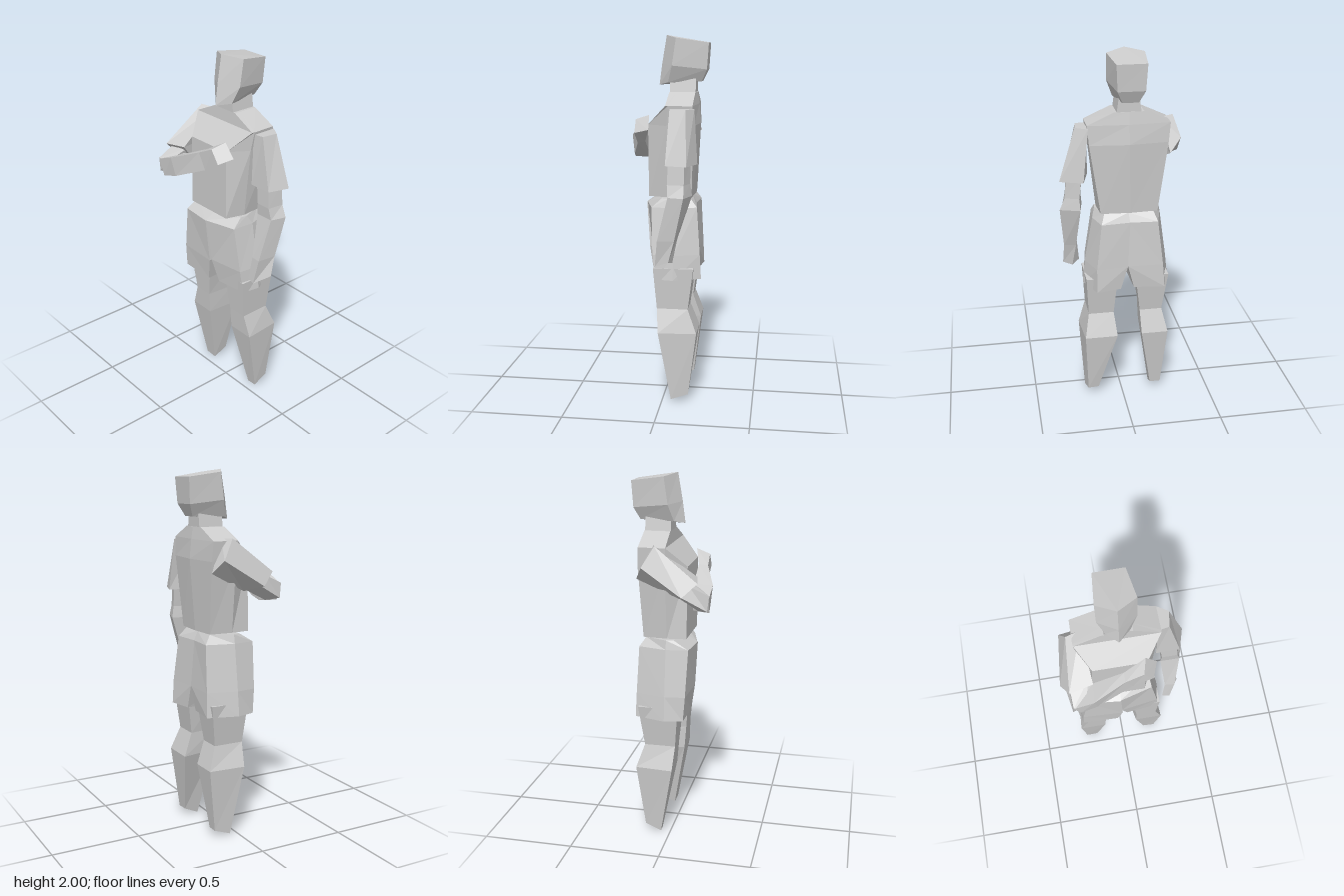
import * as THREE from 'three';

const grey = new THREE.MeshStandardMaterial({ color: 0xcccccc, flatShading: true });
grey.name = 'clay grey';

// Closed faceted solid through cross-sections that share a point count.
function loft(name, rings) {
  const n = rings[0].length, tris = [];
  for (let r = 0; r < rings.length - 1; r++) {
    const a = rings[r], b = rings[r + 1];
    for (let i = 0; i < n; i++) {
      const j = (i + 1) % n;
      tris.push([a[i], a[j], b[j]], [a[i], b[j], b[i]]);
    }
  }
  const first = rings[0], last = rings[rings.length - 1];
  for (let i = 1; i < n - 1; i++) {
    tris.push([first[0], first[i + 1], first[i]], [last[0], last[i], last[i + 1]]);
  }
  // Signed volume decides which way the faces must wind
  const v = (p) => new THREE.Vector3(...p);
  const volume = tris.reduce((s, [a, b, c]) => s + v(a).dot(v(b).cross(v(c))), 0);
  if (volume < 0) tris.forEach((t) => t.reverse());
  const geo = new THREE.BufferGeometry();
  geo.setAttribute('position', new THREE.Float32BufferAttribute(tris.flat(2), 3));
  geo.computeVertexNormals();
  const mesh = new THREE.Mesh(geo, grey);
  mesh.name = name;
  return mesh;
}

// Level cross-section at height y from [x, z] pairs
const level = (y, pts) => pts.map(([x, z]) => [x, y, z]);

// Tapered quad section: front edge and back edge
const quad = (y, x0, x1, zf, zb, in0 = 0, in1 = 0) =>
  level(y, [[x0, zf], [x1, zf], [x1 + in1, zb], [x0 + in0, zb]]);

export function createModel() {
  const g = new THREE.Group();
  g.name = 'figure';

  // Head: five-sided with a ridge down the face
  g.add(loft('head', [
    [[-0.03, 1.735, 0.045], [0.035, 1.75, -0.01], [0.01, 1.755, -0.19], [-0.075, 1.755, -0.19], [-0.09, 1.75, -0.005]],
    [[-0.03, 1.85, 0.03], [0.07, 1.84, -0.035], [0.04, 1.82, -0.22], [-0.105, 1.82, -0.22], [-0.127, 1.84, -0.03]],
    [[-0.03, 2.0, 0.005], [0.072, 1.985, -0.057], [0.047, 1.96, -0.23], [-0.113, 1.96, -0.228], [-0.13, 1.985, -0.05]],
  ]));
  g.add(loft('neck', [
    quad(1.66, -0.1, 0.04, -0.02, -0.16),
    quad(1.77, -0.085, 0.025, -0.02, -0.16),
  ]));

  // Torso: front pair, left side, back left, spine, back right, right side
  g.add(loft('torso', [
    level(1.14, [[-0.19, 0.085], [0.1, 0.085], [0.13, -0.02], [0.12, -0.15], [-0.04, -0.16], [-0.19, -0.15], [-0.2, -0.02]]),
    level(1.53, [[-0.175, 0.088], [0.105, 0.088], [0.175, -0.02], [0.18, -0.165], [-0.03, -0.185], [-0.24, -0.165], [-0.24, -0.02]]),
    level(1.635, [[-0.25, -0.015], [0.19, -0.015], [0.192, -0.03], [0.19, -0.16], [-0.03, -0.175], [-0.25, -0.16], [-0.252, -0.03]]),
    level(1.7, [[-0.11, -0.02], [0.05, -0.02], [0.05, -0.06], [0.05, -0.16], [-0.03, -0.165], [-0.11, -0.16], [-0.11, -0.06]]),
  ]));

  // Shorts, one flared tube per leg
  g.add(loft('rightShortsLeg', [
    level(0.695, [[-0.05, 0.085], [-0.255, 0.08], [-0.28, -0.02], [-0.23, -0.19], [-0.06, -0.17]]),
    level(0.83, [[-0.022, 0.1], [-0.25, 0.09], [-0.265, -0.02], [-0.22, -0.185], [-0.025, -0.18]]),
    level(1.085, [[-0.035, 0.117], [-0.215, 0.1], [-0.23, -0.02], [-0.19, -0.175], [-0.035, -0.165]]),
    level(1.135, [[-0.03, 0.03], [-0.21, 0.02], [-0.22, -0.02], [-0.17, -0.14], [-0.03, -0.14]]),
  ]));
  g.add(loft('leftShortsLeg', [
    level(0.695, [[0.01, 0.06], [0.195, 0.04], [0.213, -0.06], [0.15, -0.208], [0.015, -0.18]]),
    level(0.83, [[-0.024, 0.085], [0.185, 0.055], [0.2, -0.06], [0.15, -0.2], [-0.025, -0.18]]),
    level(1.085, [[-0.04, 0.115], [0.145, 0.065], [0.155, -0.06], [0.12, -0.18], [-0.04, -0.165]]),
    level(1.135, [[-0.035, 0.03], [0.135, 0.01], [0.14, -0.03], [0.1, -0.14], [-0.035, -0.14]]),
  ]));

  // Bare legs: thigh, knee, calf, pointed ankle
  g.add(loft('rightLeg', [
    [[-0.235, 0.01, -0.05], [-0.17, 0.0, -0.055], [-0.165, 0.04, -0.14], [-0.225, 0.04, -0.14]],
    quad(0.4, -0.27, -0.12, 0.02, -0.185, 0.015, 0.015),
    quad(0.53, -0.225, -0.115, 0.03, -0.14, 0, 0.015),
    quad(0.76, -0.255, -0.08, 0.05, -0.17, 0, 0.01),
  ]));
  g.add(loft('leftLeg', [
    [[0.145, 0.0, -0.055], [0.21, 0.01, -0.05], [0.2, 0.04, -0.145], [0.14, 0.04, -0.14]],
    quad(0.4, 0.075, 0.232, 0.02, -0.19, -0.04, -0.015),
    quad(0.53, 0.075, 0.192, 0.03, -0.14, -0.025, 0),
    quad(0.76, 0.05, 0.205, 0.05, -0.17, -0.02, 0),
  ]));

  // Hanging left arm
  g.add(loft('leftSleeve', [
    level(1.335, [[0.175, -0.03], [0.305, -0.03], [0.338, -0.145], [0.215, -0.19]]),
    level(1.62, [[0.18, -0.035], [0.238, -0.045], [0.25, -0.13], [0.185, -0.17]]),
  ]));
  g.add(loft('leftForearm', [
    [[0.222, 0.8, 0.025], [0.265, 0.785, 0.03], [0.32, 0.825, -0.05], [0.27, 0.81, -0.065]],
    [[0.235, 0.93, 0.01], [0.29, 0.93, 0.015], [0.315, 0.94, -0.08], [0.25, 0.94, -0.09]],
    level(1.17, [[0.21, -0.045], [0.315, -0.045], [0.338, -0.13], [0.23, -0.165]]),
    level(1.235, [[0.215, -0.04], [0.3, -0.04], [0.31, -0.13], [0.235, -0.155]]),
    level(1.36, [[0.2, -0.045], [0.29, -0.045], [0.3, -0.13], [0.22, -0.155]]),
  ]));

  // Right arm folded across the chest
  g.add(loft('rightSleeve', [
    [[-0.205, 1.645, -0.09], [-0.28, 1.65, -0.065], [-0.313, 1.54, -0.13], [-0.25, 1.47, -0.17]],
    [[-0.18, 1.48, 0.14], [-0.305, 1.47, 0.165], [-0.346, 1.4, 0.09], [-0.2, 1.36, 0.05]],
  ]));
  g.add(loft('rightElbow', [
    [[-0.2, 1.46, 0.1], [-0.3, 1.455, 0.12], [-0.325, 1.4, 0.08], [-0.22, 1.37, 0.05]],
    [[-0.23, 1.4, 0.215], [-0.295, 1.405, 0.225], [-0.3, 1.325, 0.215], [-0.24, 1.31, 0.16]],
  ]));
  g.add(loft('rightForearm', [
    [[-0.295, 1.4, 0.225], [-0.25, 1.42, 0.12], [-0.23, 1.31, 0.13], [-0.26, 1.31, 0.22]],
    [[-0.19, 1.44, 0.225], [-0.18, 1.44, 0.12], [-0.17, 1.33, 0.12], [-0.17, 1.335, 0.21]],
    [[-0.02, 1.51, 0.167], [-0.02, 1.515, 0.117], [0.02, 1.43, 0.117], [0.02, 1.42, 0.16]],
    [[0.075, 1.555, 0.16], [0.095, 1.58, 0.083], [0.155, 1.505, 0.08], [0.125, 1.485, 0.16]],
  ]));

  return g;
}
